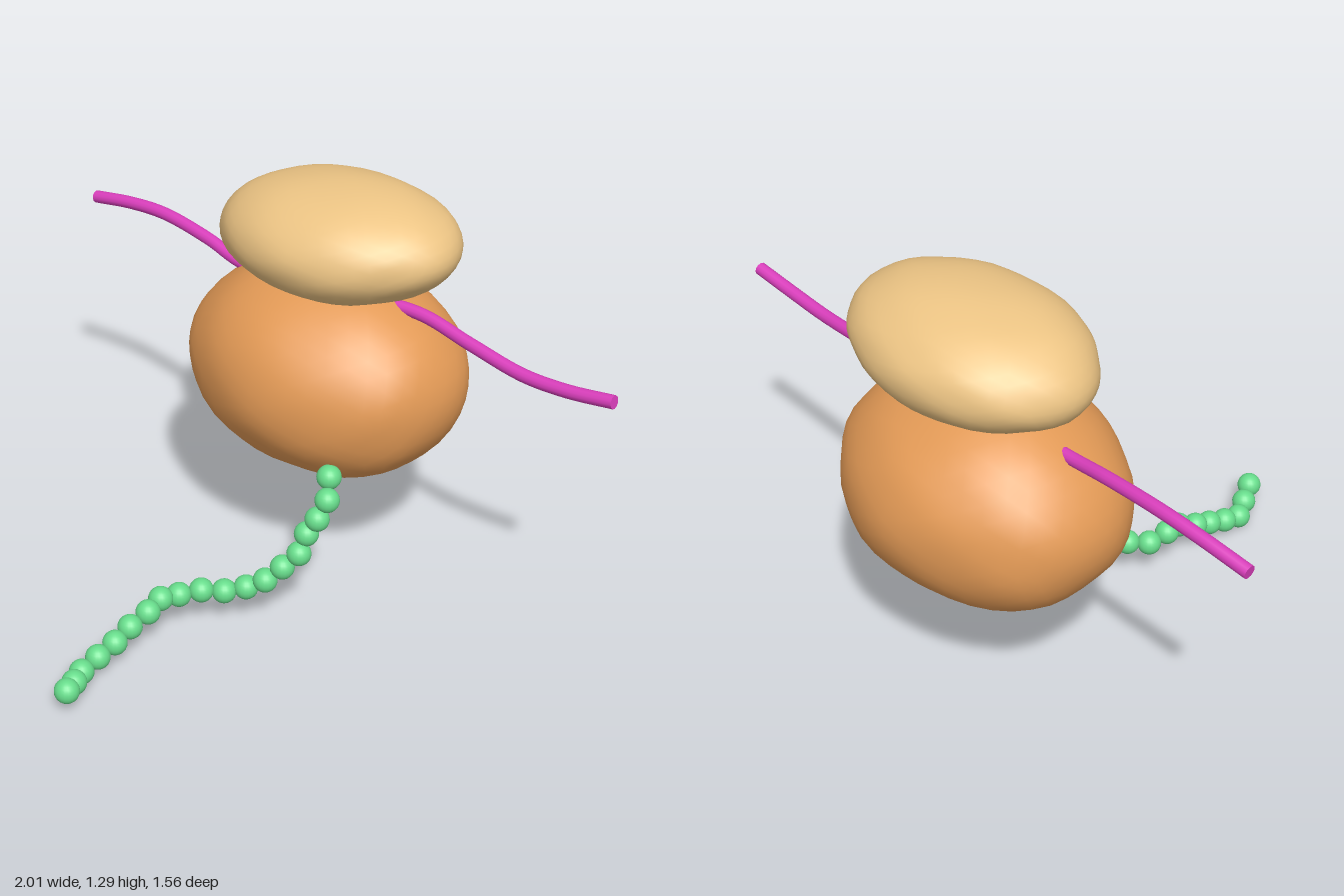
import * as THREE from 'three';
import { mergeVertices } from 'three/addons/utils/BufferGeometryUtils.js';

const paint = (color) => new THREE.MeshStandardMaterial({ color });

// Slightly uneven, smooth-shaded ellipsoid
function boulder(name, color, center, radii, phase) {
  let geo = new THREE.IcosahedronGeometry(1, 7);
  geo.deleteAttribute('uv');
  geo.deleteAttribute('normal');
  geo = mergeVertices(geo, 1e-4);
  const p = geo.attributes.position;
  const v = new THREE.Vector3();
  for (let i = 0; i < p.count; i++) {
    v.fromBufferAttribute(p, i).normalize();
    const lump =
      0.009 * Math.sin(5 * v.x + 3 * v.y + phase) +
      0.008 * Math.sin(6 * v.z - 4 * v.x + 2 * phase) +
      0.007 * Math.sin(9 * v.y + 7 * v.z + 3 * phase) * Math.cos(8 * v.x);
    v.multiplyScalar(1 + lump);
    p.setXYZ(i, v.x * radii[0], v.y * radii[1], v.z * radii[2]);
  }
  geo.computeVertexNormals();
  const mesh = new THREE.Mesh(geo, paint(color));
  mesh.name = name;
  mesh.position.set(...center);
  return mesh;
}

export function createModel() {
  const model = new THREE.Group();
  model.name = 'beadTailedFigure';

  // Two stacked boulders
  model.add(boulder('body', 0xe39a56, [-0.01, 0.68, -0.405], [0.46, 0.33, 0.37], 0.7));
  const head = boulder('head', 0xecc484, [0.02, 1.12, -0.405], [0.39, 0.175, 0.284], 2.1);
  head.rotation.set(0, 0.1, 0.06);
  model.add(head);

  // Wavy rod running through the body as both arms
  const armPath = new THREE.CatmullRomCurve3([
    [-1, 0.915, -0.42], [-0.85, 0.938, -0.425], [-0.7, 0.948, -0.423], [-0.5, 0.933, -0.405],
    [-0.33, 0.908, -0.385], [0, 0.925, -0.4], [0.3, 0.944, -0.43], [0.5, 0.922, -0.412],
    [0.7, 0.905, -0.39], [0.85, 0.914, -0.384], [1, 0.936, -0.387],
  ].map((a) => new THREE.Vector3(...a)));
  const arms = new THREE.Group();
  arms.name = 'arms';
  const rod = new THREE.Mesh(new THREE.TubeGeometry(armPath, 80, 0.02, 12), paint(0xdb3fbd));
  rod.name = 'armRod';
  arms.add(rod);
  for (const t of [0, 1]) {
    const cap = new THREE.Mesh(new THREE.CircleGeometry(0.02, 12), rod.material);
    cap.name = 'armEnd';
    cap.position.copy(armPath.getPoint(t));
    cap.lookAt(cap.position.clone().addScaledVector(armPath.getTangent(t), t ? 1 : -1));
    arms.add(cap);
  }
  model.add(arms);

  // String of beads hanging from the body and trailing forward
  const beads = [
    [0.225, 0.49, -0.125], [0.25, 0.437, -0.087], [0.235, 0.377, -0.06], [0.205, 0.317, -0.048],
    [0.2, 0.257, -0.02], [0.165, 0.21, 0.015], [0.13, 0.166, 0.053], [0.08, 0.133, 0.083],
    [0.033, 0.122, 0.13], [-0.015, 0.13, 0.18], [-0.058, 0.122, 0.233], [-0.073, 0.136, 0.298],
    [-0.065, 0.126, 0.362], [-0.08, 0.1, 0.425], [-0.083, 0.076, 0.488], [-0.092, 0.056, 0.552],
    [-0.095, 0.039, 0.618], [-0.065, 0.052, 0.678], [-0.035, 0.072, 0.737],
  ];
  const chain = new THREE.Group();
  chain.name = 'beadChain';
  const beadGeo = new THREE.SphereGeometry(0.038, 20, 14);
  const beadMat = paint(0x68dd8c);
  for (const b of beads) {
    const bead = new THREE.Mesh(beadGeo, beadMat);
    bead.name = 'bead';
    bead.position.set(...b);
    chain.add(bead);
  }
  model.add(chain);

  return model;
}
